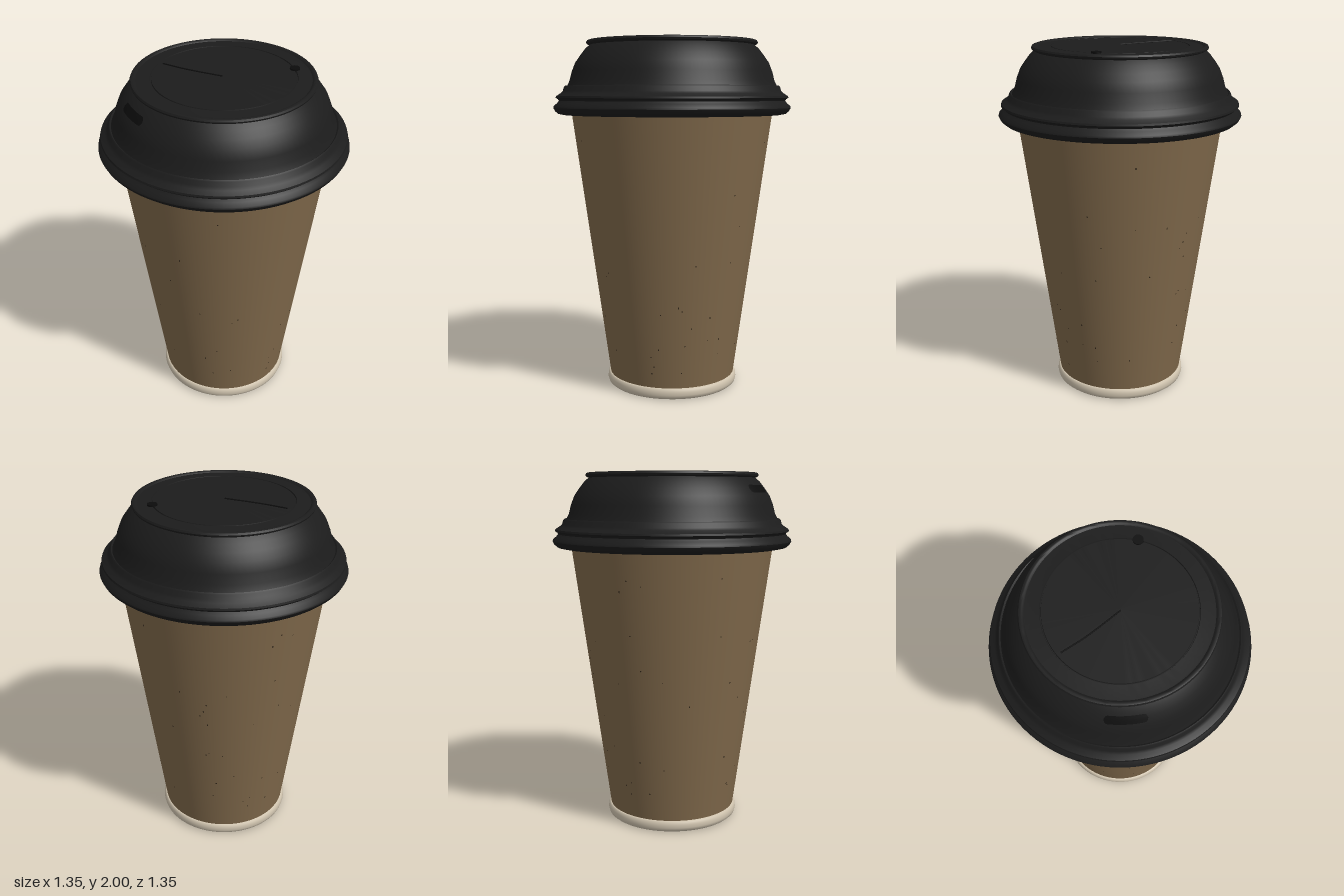
import * as THREE from 'three';
import { toCreasedNormals } from 'three/addons/utils/BufferGeometryUtils.js';

const SEGMENTS = 96;
const paint = (color) => new THREE.MeshStandardMaterial({ color });
const black = paint(0x1c1c1c), ink = paint(0x0c0c0c);
const kraft = paint(0x80694b), cream = paint(0xcfc3ae), speckle = paint(0x30261a);

// Dome wall of the lid, from its foot to the top rim: [radius, height]
const dome = [[0.6, 1.735], [0.583, 1.77], [0.57, 1.82], [0.55, 1.87], [0.522, 1.91], [0.495, 1.945], [0.47, 1.968]];
const sleeveRadius = (y) => 0.365 + (0.575 - 0.365) * (y - 0.06) / 1.54;

function domeRadius(y) {
  const i = Math.max(1, dome.findIndex((p) => p[1] >= y));
  const [a, b] = [dome[i - 1], dome[i]];
  return THREE.MathUtils.mapLinear(y, a[1], b[1], a[0], b[0]);
}

function add(parent, name, geometry, material) {
  const mesh = new THREE.Mesh(geometry, material);
  mesh.name = name;
  parent.add(mesh);
  return mesh;
}

function turned(points, crease = 0.6) {
  const profile = points.map(([r, y]) => new THREE.Vector2(r, y));
  return toCreasedNormals(new THREE.LatheGeometry(profile, SEGMENTS), crease);
}

// Capsule-shaped patch that follows the curve of the dome
function drinkSlot() {
  const g = new THREE.PlaneGeometry(2, 2, 32, 6);
  const p = g.attributes.position;
  const halfWidth = 0.1, halfHeight = 0.02;
  for (let i = 0; i < p.count; i++) {
    const s = p.getX(i) * halfWidth;
    const past = Math.max(0, Math.abs(s) - (halfWidth - halfHeight));
    const y = 1.907 + p.getY(i) * Math.sqrt(Math.max(0, halfHeight ** 2 - past ** 2));
    const r = domeRadius(y) + 0.003;
    const angle = -0.335 + s / 0.5;
    p.setXYZ(i, r * Math.sin(angle), y, r * Math.cos(angle));
  }
  g.computeVertexNormals();
  return g;
}

// Small flecks lying on the sleeve
function addFlecks(parent) {
  let seed = 17;
  const rand = () => (seed = (seed * 16807) % 2147483647) / 2147483647;
  const flecks = new THREE.Group();
  flecks.name = 'paperFlecks';
  const disc = new THREE.CircleGeometry(0.005, 6);
  for (let i = 0; i < 70; i++) {
    const y = 0.15 + rand() * 1.3, angle = rand() * Math.PI * 2;
    const r = sleeveRadius(y) + 0.001;
    const fleck = add(flecks, 'fleck', disc, speckle);
    fleck.position.set(r * Math.sin(angle), y, r * Math.cos(angle));
    fleck.rotation.set(0.135, angle, 0, 'YXZ');
    fleck.scale.set(0.5 + rand() * 0.5, 0.5 + rand(), 1);
  }
  parent.add(flecks);
}

export function createModel() {
  const model = new THREE.Group();
  model.name = 'takeawayCup';

  // Rounded foot with a flat underside
  add(model, 'base', turned([
    [0, 0.006], [0.345, 0.006], [0.355, 0.002], [0.365, 0.003], [0.376, 0.012],
    [0.381, 0.028], [0.38, 0.045], [0.376, 0.06], [0.37, 0.066], [0.355, 0.066],
  ], 0.8), cream);

  // Tapered paper wall
  add(model, 'sleeve', turned([
    [0.36, 0.06], [0.365, 0.06], [sleeveRadius(1.6), 1.6],
  ]), kraft);
  addFlecks(model);

  // Lid: rolled skirt, two lips, dome, raised rim and grooved top
  const lid = new THREE.Group();
  lid.name = 'lid';
  model.add(lid);
  add(lid, 'lidShell', turned([
    [0.56, 1.6], [0.575, 1.585], [0.62, 1.579], [0.65, 1.585], [0.668, 1.6], [0.677, 1.618],
    [0.674, 1.628], [0.655, 1.645], [0.645, 1.658], [0.65, 1.666], [0.663, 1.674],
    [0.66, 1.684], [0.635, 1.7], [0.622, 1.712], [0.615, 1.735], [0.608, 1.742],
    ...dome,
    [0.475, 1.971], [0.484, 1.975], [0.487, 1.984], [0.482, 1.993], [0.473, 1.996],
    [0.465, 1.994], [0.457, 1.987], [0.45, 1.987],
    [0.383, 1.991], [0.381, 1.984], [0.377, 1.984], [0.375, 1.991], [0, 1.991],
  ]), black);
  add(lid, 'drinkSlot', drinkSlot(), ink);

  // Vent plug and hinge crease on the top
  const vent = add(lid, 'vent', new THREE.CylinderGeometry(0.027, 0.027, 0.015, 24), ink);
  vent.position.set(0.222, 1.9915, -0.31);
  const creasePath = new THREE.CatmullRomCurve3([
    new THREE.Vector3(-0.34, 0, 0.103), new THREE.Vector3(-0.2, 0, 0.072), new THREE.Vector3(0, 0, 0.008),
  ]);
  const crease = add(lid, 'lidCrease', new THREE.TubeGeometry(creasePath, 24, 0.004, 6), ink);
  crease.position.y = 1.993;

  return model;
}
